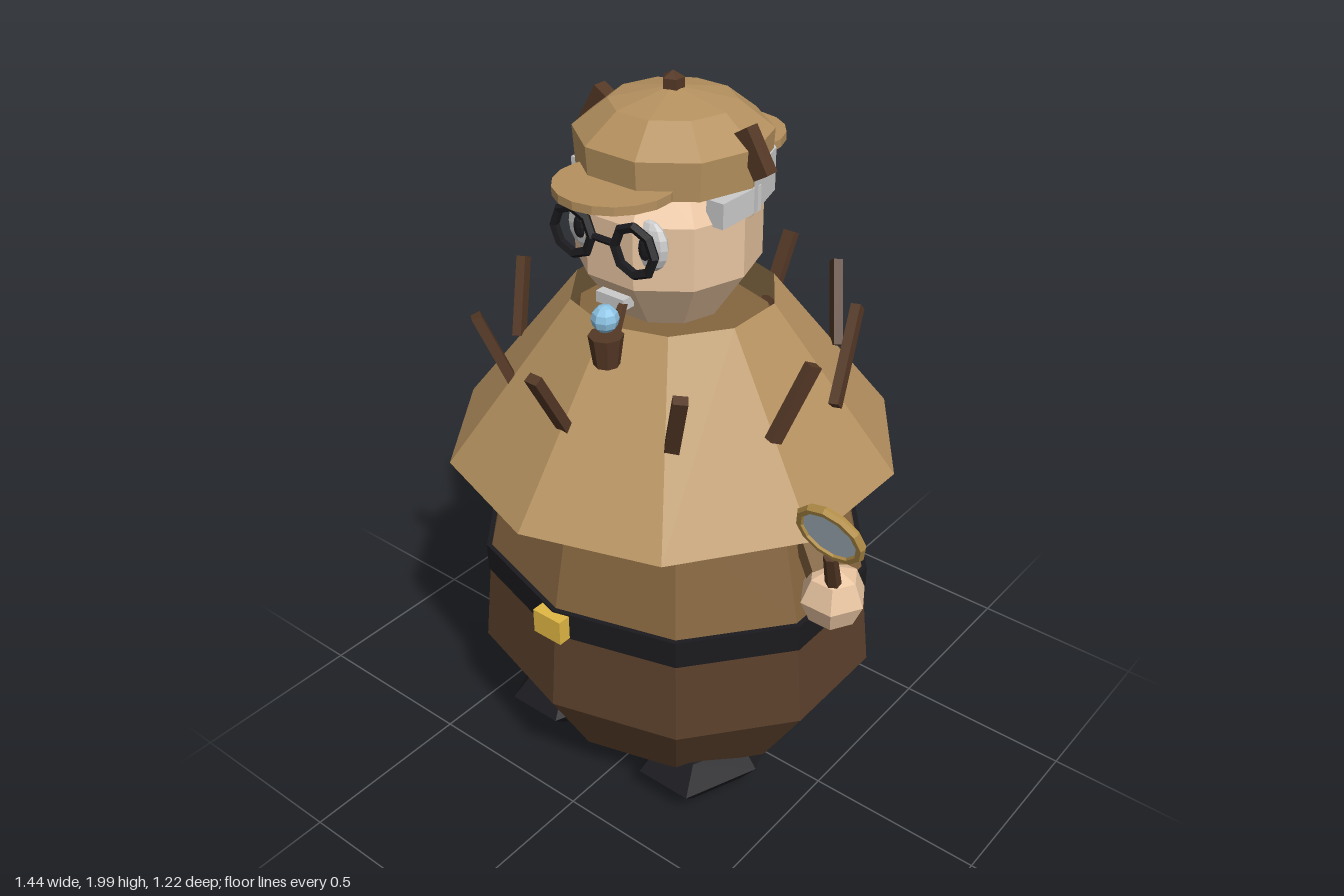
import * as THREE from 'three';

const mat = (color, side = THREE.FrontSide) =>
  new THREE.MeshStandardMaterial({ color, flatShading: true, side });
const V = (x, y, z) => new THREE.Vector3(x, y, z);
const UP = V(0, 1, 0);

export function createModel() {
  const root = new THREE.Group();
  const figure = new THREE.Group();
  figure.name = 'figure';
  figure.position.x = -0.03;
  root.add(figure);

  const tan = mat(0xb5915f), tanOpen = mat(0xb5915f, THREE.DoubleSide);
  const coatBrown = mat(0x85653f), darkBrown = mat(0x5a3f2b), wood = mat(0x543825);
  const skin = mat(0xe8c4a0), black = mat(0x1b1b1f), gold = mat(0xe2b945), brass = mat(0xb8924a);
  const white = mat(0xffffff), grey = mat(0xcccccc, THREE.DoubleSide);
  const glass = mat(0xc0d0da), bubbleBlue = mat(0x8ec5e6);

  const add = (name, geometry, material, x = 0, y = 0, z = 0) => {
    const mesh = new THREE.Mesh(geometry, material);
    mesh.name = name;
    mesh.position.set(x, y, z);
    figure.add(mesh);
    return mesh;
  };
  const box = (w, h, d) => new THREE.BoxGeometry(w, h, d);
  const ball = (r, w, h) => new THREE.SphereGeometry(r, w, h);
  // Low-poly turned shape, first corner at the start angle (0 is the front)
  const turned = (points, start = 0, length = Math.PI * 2, sides = 10) =>
    new THREE.LatheGeometry(points.map(p => new THREE.Vector2(...p)), sides, start, length);
  // Ten-sided body section with a corner at the front, wider than deep
  const bodySection = (name, points, material) =>
    add(name, turned(points).scale(1.12, 1, 1), material);
  // Tapered rod between two points
  const rod = (name, a, b, ra, rb, material, sides = 6) => {
    const mesh = add(name, new THREE.CylinderGeometry(rb, ra, a.distanceTo(b), sides), material);
    mesh.position.copy(a).add(b).multiplyScalar(0.5);
    mesh.quaternion.setFromUnitVectors(UP, b.clone().sub(a).normalize());
  };

  // Body, belt and cape
  bodySection('trousers', [[0, 0.138], [0.392, 0.138], [0.526, 0.38], [0.5, 0.65]], darkBrown);
  bodySection('coat', [[0.5, 0.65], [0.495, 0.69], [0.425, 1.0], [0.24, 1.36], [0, 1.36]], coatBrown);
  bodySection('belt', [[0.48, 0.612], [0.508, 0.612], [0.508, 0.692], [0.48, 0.692]], black);
  add('buckle', box(0.092, 0.072, 0.04), gold, 0, 0.651, 0.511);
  add('cape', new THREE.CylinderGeometry(0.27, 0.61, 0.435, 10, 1, true), tanOpen, 0, 1.215, 0);

  // Pegs standing on the cape: foot x, z then tip x, z
  const pegs = [
    [0, 0.42, 0, 0.525], [0.262, 0.335, 0.33, 0.385], [0.425, 0.145, 0.475, 0.06],
    [0.452, -0.085, 0.392, -0.26], [0.28, -0.35, 0.2, -0.45], [0, -0.42, 0, -0.525],
  ];
  for (const [fx, fz, tx, tz] of pegs) {
    for (const s of fx ? [1, -1] : [1]) {
      const foot = V(s * fx, 1.205, fz), tip = V(s * tx, 1.397, tz);
      const peg = add('capePeg', box(0.037, foot.distanceTo(tip), 0.026), wood);
      peg.position.copy(foot).add(tip).multiplyScalar(0.5);
      peg.quaternion.setFromUnitVectors(UP, tip.sub(foot).normalize());
      peg.rotateY(Math.atan2(s * fx, fz));
    }
  }

  // Head and hair
  add('head', ball(0.247, 10, 5), skin, 0, 1.62, 0.02).scale.y = 1.06;
  add('backHair', turned([[0.2, 1.665], [0.232, 1.67], [0.258, 1.7], [0.258, 1.81], [0.22, 1.81]],
    Math.PI / 2, Math.PI, 5).scale(0.95, 1, 1), grey);
  add('moustache', box(0.088, 0.03, 0.04), grey, 0, 1.49, 0.228);

  // Paired parts
  for (const s of [1, -1]) {
    const side = s > 0 ? 'left' : 'right';
    add(side + 'Shoe', ball(1, 6, 4), black, s * 0.245, 0.099, 0.15).scale.set(0.168, 0.092, 0.243);
    add(side + 'Hand', ball(0.09, 6, 4), skin, s * 0.602, 0.797, 0.11);
    rod(side + 'Sleeve', V(s * 0.57, 0.835, 0.09), V(s * 0.3, 1.12, -0.06), 0.055, 0.07, coatBrown);
    add(side + 'Sideburn', box(0.05, 0.065, 0.15), grey, s * 0.212, 1.728, 0.035);
    add(side + 'Eye', ball(1, 10, 8), white, s * 0.1, 1.655, 0.212).scale.set(0.055, 0.065, 0.025);
    add(side + 'Pupil', ball(1, 8, 6), black, s * 0.102, 1.655, 0.234).scale.set(0.018, 0.032, 0.012);
    add(side + 'LensRim', new THREE.TorusGeometry(0.061, 0.013, 5, 8), black, s * 0.096, 1.657, 0.265);
    add(side + 'CapFlap', box(0.045, 0.12, 0.04), wood, s * 0.245, 1.855, 0).rotation.z = s * 0.54;
  }
  rod('glassesBridge', V(-0.04, 1.66, 0.265), V(0.04, 1.66, 0.265), 0.009, 0.009, black);

  // Cap with a peak at front and back
  add('cap', turned([[0, 1.765], [0.24, 1.765], [0.246, 1.862], [0.158, 1.931], [0, 1.965]],
    Math.PI / 2), tan);
  for (const s of [1, -1])
    add(s > 0 ? 'frontPeak' : 'backPeak', new THREE.CylinderGeometry(0.15, 0.15, 0.022, 18), tan,
      0, 1.78, s * 0.217);
  add('capButton', ball(0.033, 5, 3), wood, 0, 1.968, 0);

  // Pipe with a bubble
  rod('pipeStem', V(0.025, 1.495, 0.22), V(0.1, 1.432, 0.375), 0.011, 0.021, wood);
  add('pipeBowl', new THREE.CylinderGeometry(0.043, 0.032, 0.078, 8), wood, 0.112, 1.457, 0.39);
  add('bubble', ball(0.034, 8, 6), bubbleBlue, 0.122, 1.547, 0.402);

  // Magnifying glass held in the left hand
  rod('magnifierHandle', V(0.615, 0.82, 0.125), V(0.638, 0.985, 0.193), 0.022, 0.018, wood);
  const rim = add('magnifierRim', new THREE.TorusGeometry(0.085, 0.013, 6, 12), brass, 0.65, 1.07, 0.218);
  rim.rotation.x = 0.35;
  const lens = add('magnifierLens', new THREE.CylinderGeometry(0.083, 0.083, 0.01, 12), glass, 0.65, 1.07, 0.218);
  lens.rotation.x = Math.PI / 2 + 0.35;

  return root;
}
